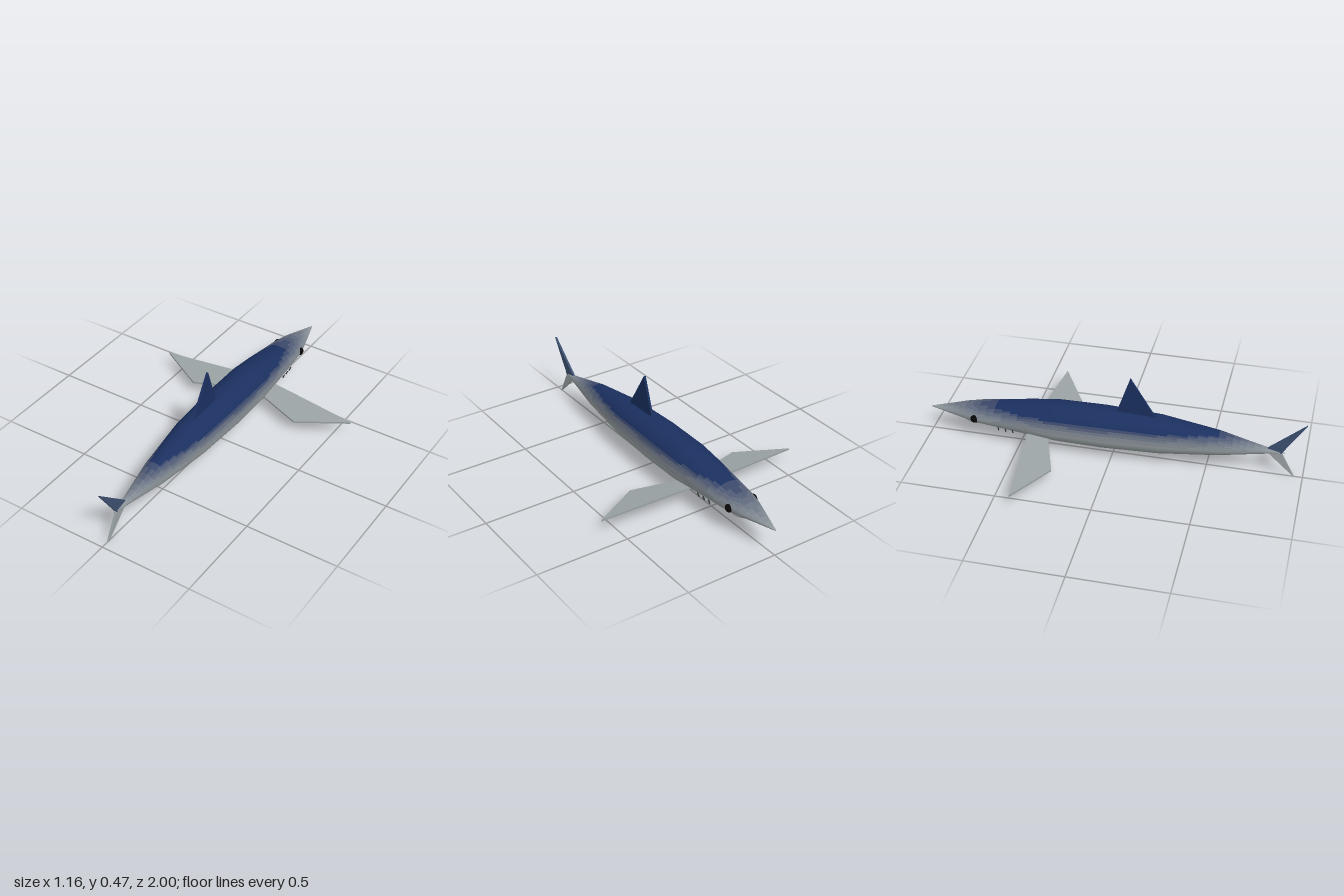
import * as THREE from 'three';
import { ConvexGeometry } from 'three/addons/geometries/ConvexGeometry.js';

const BLUE = new THREE.Color(0x1b3060);
const GREY = new THREE.Color(0x9aa2a4);
const paint = (color) => new THREE.MeshStandardMaterial({ color });

// Body stations, nose to tail: z, top y, bottom y, half width
const STATIONS = [
  [-1, 0.142, 0.138, 0.002], [-0.8, 0.187, 0.112, 0.066], [-0.72, 0.2, 0.1, 0.085],
  [-0.45, 0.245, 0.069, 0.107], [-0.3, 0.265, 0.052, 0.116], [-0.05, 0.27, 0.046, 0.115],
  [0.25, 0.26, 0.054, 0.101], [0.56, 0.215, 0.086, 0.066], [0.78, 0.165, 0.122, 0.024],
  [0.9, 0.142, 0.138, 0.002],
];
const AROUND = 48, STEPS = 6, BANDS = 10;

// Body skin, shaded in bands from grey belly to blue back
function makeBody() {
  const pos = [], quads = Array.from({ length: BANDS }, () => []);
  const rings = [];
  STATIONS.slice(0, -1).forEach((s, i) => {
    for (let k = 0; k < STEPS; k++) {
      rings.push(s.map((v, c) => THREE.MathUtils.lerp(v, STATIONS[i + 1][c], k / STEPS)));
    }
  });
  rings.push(STATIONS.at(-1));
  for (const [z, top, bottom, w] of rings) {
    for (let j = 0; j < AROUND; j++) {
      const a = (j / AROUND) * Math.PI * 2;
      pos.push(w * Math.cos(a), (top + bottom) / 2 + ((top - bottom) / 2) * Math.sin(a), z);
    }
  }
  for (let i = 0; i < rings.length - 1; i++) {
    for (let j = 0; j < AROUND; j++) {
      const a = i * AROUND + j, b = i * AROUND + ((j + 1) % AROUND);
      const c = a + AROUND, d = b + AROUND;
      const y = (pos[a * 3 + 1] + pos[b * 3 + 1] + pos[c * 3 + 1] + pos[d * 3 + 1]) / 4;
      const t = THREE.MathUtils.clamp((y - 0.13) / 0.09, 0, 0.999);
      quads[Math.floor(t * BANDS)].push(a, b, c, b, d, c);
    }
  }
  const geo = new THREE.BufferGeometry();
  geo.setAttribute('position', new THREE.Float32BufferAttribute(pos, 3));
  geo.setIndex(quads.flat());
  geo.computeVertexNormals();
  let start = 0;
  quads.forEach((q, i) => {
    geo.addGroup(start, q.length, i);
    start += q.length;
  });
  const mats = quads.map((_, i) => paint(GREY.clone().lerp(BLUE, i / (BANDS - 1))));
  return new THREE.Mesh(geo, mats);
}

// Thin flat-sided fin: outline corners thickened along one axis
function makeFin(corners, axis, color, half = 0.006) {
  const points = corners.flatMap((c) => [-half, half].map((h) => {
    const p = new THREE.Vector3(...c);
    p[axis] += h;
    return p;
  }));
  return new THREE.Mesh(new ConvexGeometry(points), paint(color));
}

export function createModel() {
  const model = new THREE.Group();
  model.name = 'shark';
  const add = (name, mesh) => {
    mesh.name = name;
    model.add(mesh);
    return mesh;
  };

  add('body', makeBody());

  // Upright fins on the centre line
  add('dorsalFin', makeFin([[0, 0.24, 0.235], [0, 0.475, 0.09], [0, 0.25, 0.015]], 'x', BLUE));
  add('upperTailLobe', makeFin([[0, 0.325, 1], [0, 0.158, 0.81], [0, 0.135, 0.88]], 'x', 0x3c4f70));
  add('lowerTailLobe', makeFin([[0, 0, 0.955], [0, 0.135, 0.81], [0, 0.135, 0.885]], 'x', GREY));

  // Lower jaw under the head
  const jaw = add('lowerJaw', new THREE.Mesh(new THREE.SphereGeometry(1, 24, 16), paint(GREY)));
  jaw.scale.set(0.055, 0.024, 0.08);
  jaw.position.set(0, 0.114, -0.735);

  // Paired parts
  for (const [side, s] of [['left', 1], ['right', -1]]) {
    add(side + 'PectoralFin', makeFin([
      [s * 0.07, 0.107, -0.443], [s * 0.07, 0.09, -0.335],
      [s * 0.32, 0.071, -0.25], [s * 0.582, 0.079, -0.398],
    ], 'y', GREY, 0.005));

    const eye = add(side + 'Eye', new THREE.Mesh(new THREE.SphereGeometry(0.022, 20, 14), paint(0x080808)));
    eye.scale.x = 0.7;
    eye.position.set(s * 0.076, 0.148, -0.735);

    // Gill slits
    for (let i = 0; i < 3; i++) {
      const gill = add(side + 'Gill' + (i + 1),
        new THREE.Mesh(new THREE.BoxGeometry(0.006, 0.026, 0.004), paint(0x30363c)));
      gill.position.set(s * (0.09 + i * 0.0035), 0.115, -0.6 + i * 0.04);
      gill.rotation.z = -s * 0.4;
    }
  }
  return model;
}
